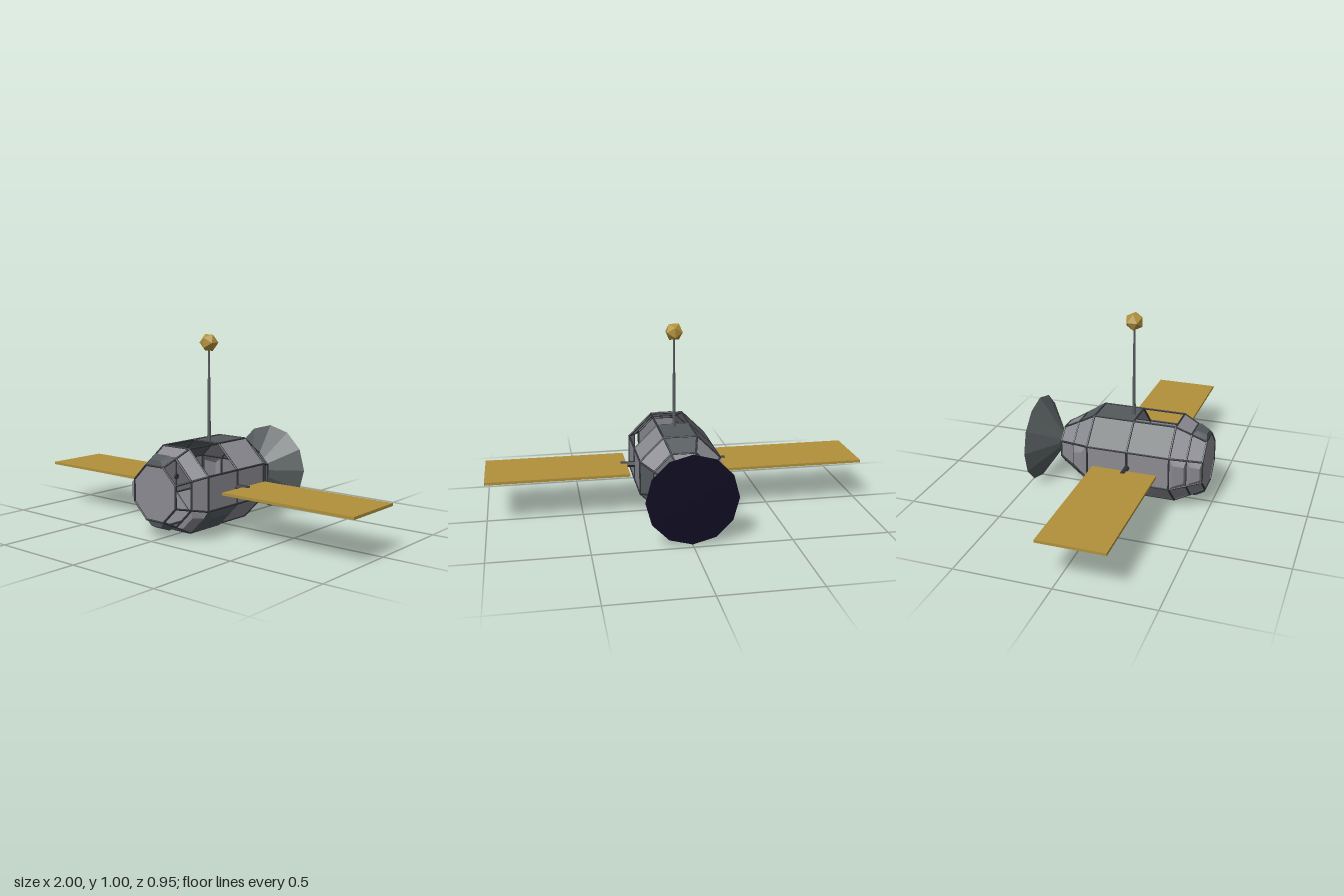
import * as THREE from 'three';

const CY = 0.237; // height of the hull axis
const mat = (name, color, extra = {}) => {
  const m = new THREE.MeshStandardMaterial({ color, flatShading: true, ...extra });
  m.name = name;
  return m;
};

// hull rings from front to back: [z, distance from axis to flat side]
const RINGS = [[0.47, 0.137], [0.395, 0.172], [0.315, 0.21], [0.09, 0.21], [-0.125, 0.21], [-0.22, 0.152], [-0.31, 0.1]];
// one row per hull section, eight sides counter-clockwise from the left (+x) side:
// L light, D dark, upper case flat, r/d raised light/dark, '.' open
const SECTIONS = ['..dLrLd.', 'LLLLrLLr', 'L..DLLdd', 'LLDDLLLL', 'DLDLrLDL', 'LDLLLDLD'];

function corner(ring, k) {
  const [z, a] = RINGS[ring];
  const r = a / Math.cos(Math.PI / 8);
  const t = (k - 0.5) * Math.PI / 4;
  return new THREE.Vector3(r * Math.cos(t), CY + r * Math.sin(t), z);
}

function quads(list) {
  const pos = [];
  for (const [a, b, c, d] of list) for (const p of [a, b, c, a, c, d]) pos.push(p.x, p.y, p.z);
  const g = new THREE.BufferGeometry();
  g.setAttribute('position', new THREE.Float32BufferAttribute(pos, 3));
  g.computeVertexNormals();
  return g;
}

export function createModel() {
  const group = new THREE.Group();
  const light = mat('light panel', 0x8a8a91, { side: THREE.DoubleSide });
  const dark = mat('dark panel', 0x545a5d, { side: THREE.DoubleSide });
  const frame = mat('dark frame', 0x303337);
  const dishGrey = mat('dish grey', 0x565c5e);
  const navy = mat('dish navy', 0x100c22);
  const gold = mat('gold', 0xb0903a);

  const add = (name, geo, material, x = 0, y = 0, z = 0) => {
    const m = new THREE.Mesh(geo, material);
    m.name = name;
    m.position.set(x, y, z);
    group.add(m);
    return m;
  };

  // bar between two points
  const bar = (name, a, b, r) => {
    const d = b.clone().sub(a);
    const m = add(name, new THREE.CylinderGeometry(r, r, d.length() + r, 6), frame);
    m.position.copy(a).add(b).multiplyScalar(0.5);
    m.quaternion.setFromUnitVectors(new THREE.Vector3(0, 1, 0), d.normalize());
  };

  // hull panels, flat or raised as a truncated pyramid
  SECTIONS.forEach((row, s) => {
    for (let k = 0; k < 8; k++) {
      const type = row[k];
      if (type === '.') continue;
      const base = [corner(s, k), corner(s + 1, k), corner(s + 1, k + 1), corner(s, k + 1)];
      const faces = [];
      const material = type.toLowerCase() === 'd' ? dark : light;
      if (type === 'r' || type === 'd') {
        const mid = base.reduce((v, p) => v.add(p), new THREE.Vector3()).multiplyScalar(0.25);
        const along = base[1].clone().sub(base[0]);
        const across = base[3].clone().sub(base[0]);
        const n = across.clone().cross(along).normalize();
        if (n.dot(new THREE.Vector3(mid.x, mid.y - CY, 0)) < 0) n.negate();
        const inset = Math.min(0.034, along.length() * 0.22);
        const top = base.map((p) => {
          const q = mid.clone().sub(p);
          return p.clone().addScaledVector(q, inset / (q.length() * 0.62)).addScaledVector(n, 0.024);
        });
        faces.push(top);
        for (let i = 0; i < 4; i++) {
          const j = (i + 1) % 4;
          faces.push([base[i], base[j], top[j], top[i]]);
        }
      } else faces.push(base);
      // wind the corners so that faces look outward
      add('hullPanel', quads(faces.map((f) => [f[0], f[3], f[2], f[1]].reverse())), material);
    }
  });

  // frame bars along the panel edges
  RINGS.forEach((ring, s) => {
    for (let k = 0; k < 8; k++) {
      bar('ringBar', corner(s, k), corner(s, k + 1), 0.0055);
      if (s < RINGS.length - 1) bar('lengthBar', corner(s, k), corner(s + 1, k), 0.0055);
    }
  });

  // end plates
  for (const [name, s] of [['frontPlate', 0], ['rearPlate', RINGS.length - 1]]) {
    const r = RINGS[s][1] / Math.cos(Math.PI / 8);
    const plate = new THREE.CircleGeometry(r, 8, Math.PI / 8);
    add(name, plate, light, 0, CY, RINGS[s][0]);
  }

  // rear dish with its dark face
  const cone = new THREE.ConeGeometry(0.233, 0.16, 12, 1, true).rotateX(Math.PI / 2);
  add('dish', cone, dishGrey, 0, CY, -0.39);
  add('dishFace', new THREE.CircleGeometry(0.233, 12, Math.PI / 2).rotateY(Math.PI), navy, 0, CY, -0.47);

  // solar wings and their stubs
  for (const side of [-1, 1]) {
    add('solarWing', new THREE.BoxGeometry(0.745, 0.014, 0.342), gold, side * 0.6275, CY, 0.092);
    const stub = new THREE.CylinderGeometry(0.016, 0.016, 0.085, 6).rotateZ(Math.PI / 2);
    add('wingStub', stub, frame, side * 0.243, CY, 0.092);
  }

  // antenna mast with a faceted ball
  add('mast', new THREE.CylinderGeometry(0.005, 0.01, 0.48, 6), dishGrey, 0, 0.685, 0.063);
  add('mastBall', new THREE.IcosahedronGeometry(0.049, 0), gold, 0, 0.957, 0.063);
  return group;
}
